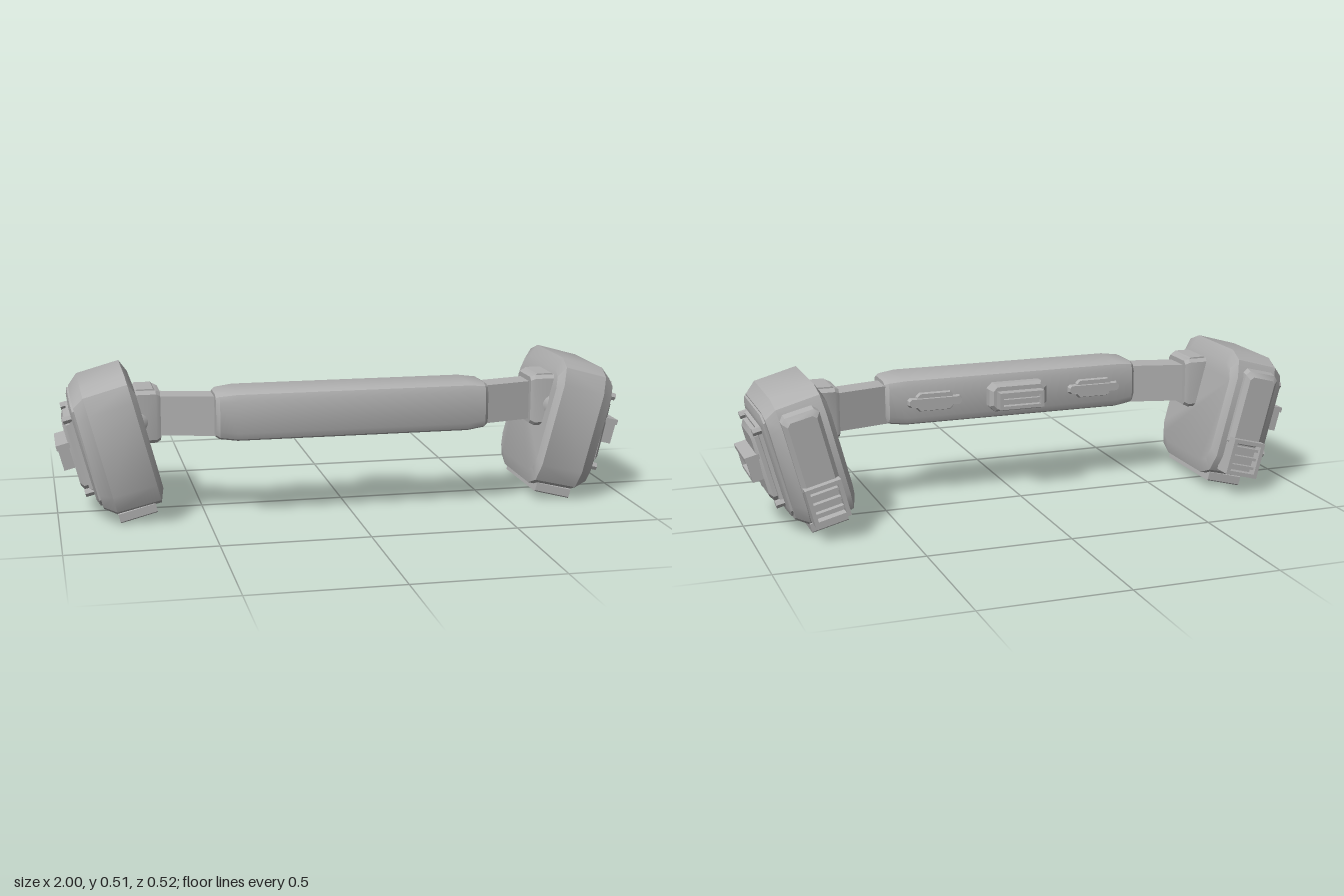
import * as THREE from 'three';
import { toCreasedNormals } from 'three/addons/utils/BufferGeometryUtils.js';

const grey = new THREE.MeshStandardMaterial({ color: 0xb0b0b0 });
grey.name = 'plain grey';

// Rounded-rectangle outline; taper narrows it towards the top
function outline(w, h, r, taper, seg, cy) {
  const pts = [];
  const corners = [[1, 1], [-1, 1], [-1, -1], [1, -1]];
  corners.forEach(([sx, sy], k) => {
    for (let i = 0; i <= seg; i++) {
      const a = (k + i / seg) * Math.PI / 2;
      const x = sx * (w / 2 - r) + r * Math.cos(a);
      const y = sy * (h / 2 - r) + r * Math.sin(a);
      pts.push([x * (1 - taper * y / h), y + cy]);
    }
  });
  return pts;
}

// Solid lofted along +z through levels of [depth, width, height, radius, shiftY]
function loft(levels, seg = 1, taper = 0) {
  const rings = levels.map(([d, w, h, r, cy = 0]) =>
    outline(w, h, r, taper, seg, cy).map(([x, y]) => [x, y, d]));
  const pos = [];
  const tri = (a, b, c) => pos.push(...a, ...b, ...c);
  const n = rings[0].length;
  for (let j = 0; j < rings.length - 1; j++) {
    const lo = rings[j], hi = rings[j + 1];
    for (let i = 0; i < n; i++) {
      const k = (i + 1) % n;
      tri(lo[i], lo[k], hi[k]);
      tri(lo[i], hi[k], hi[i]);
    }
  }
  const first = rings[0], last = rings[rings.length - 1];
  for (let i = 1; i < n - 1; i++) {
    tri(first[0], first[i + 1], first[i]);
    tri(last[0], last[i], last[i + 1]);
  }
  const g = new THREE.BufferGeometry();
  g.setAttribute('position', new THREE.Float32BufferAttribute(pos, 3));
  return toCreasedNormals(g, 0.5);
}

function add(parent, name, geo, x = 0, y = 0, z = 0) {
  const m = new THREE.Mesh(geo, grey);
  m.name = name;
  m.position.set(x, y, z);
  parent.add(m);
  return m;
}
const box = (w, h, d) => new THREE.BoxGeometry(w, h, d);
const outward = g => g.rotateY(Math.PI / 2);
const backward = g => g.rotateY(Math.PI);

// Open rectangular frame with slats, facing +z
function louvre(name, w, h, d, t, slats) {
  const g = new THREE.Group();
  g.name = name;
  for (const s of [-1, 1]) {
    add(g, 'frameRail', box(w, t, d), 0, s * (h - t) / 2, d / 2);
    add(g, 'frameSide', box(t, h - 2 * t, d), s * (w - t) / 2, 0, d / 2);
  }
  add(g, 'frameBack', box(w - 2 * t, h - 2 * t, d * 0.5), 0, 0, d * 0.25);
  for (let i = 1; i <= slats; i++) {
    add(g, 'slat', box(w - 2 * t, t * 0.7, d * 0.35), 0, -h / 2 + h * i / (slats + 1), d * 0.65);
  }
  return g;
}

// Tilted end pod on the +x side
function makePod() {
  const pod = new THREE.Group();
  pod.name = 'pod';
  pod.position.set(0.795, 0.262, 0.012);
  pod.rotation.z = -0.253;

  add(pod, 'podBody', outward(loft([
    [-0.105, 0.40, 0.37, 0.06], [-0.087, 0.445, 0.462, 0.085],
    [0.065, 0.445, 0.456, 0.085], [0.105, 0.40, 0.39, 0.065]], 2)));
  add(pod, 'podFoot', loft([
    [-0.065, 0.33, 0.036, 0.004], [0.065, 0.33, 0.036, 0.004]]).rotateY(Math.PI / 2), 0, -0.235, 0);

  // Stepped outer panels
  add(pod, 'outerPanel', outward(loft([
    [0.10, 0.335, 0.367, 0.025], [0.112, 0.335, 0.367, 0.025], [0.120, 0.30, 0.33, 0.022]])), 0, 0.005, 0);
  add(pod, 'middlePanel', outward(loft([
    [0.115, 0.27, 0.28, 0.015], [0.132, 0.26, 0.27, 0.015]], 1, 0.1)), 0, 0.007, 0);
  add(pod, 'raisedHatch', outward(loft([
    [0.13, 0.215, 0.255, 0.02], [0.146, 0.215, 0.255, 0.02], [0.157, 0.19, 0.215, 0.012]], 1, 0.16)), 0, 0.004, 0);

  // Ledge handle on the hatch
  const handle = louvre('hatchHandle', 0.19, 0.085, 0.055, 0.014, 0);
  handle.rotation.y = Math.PI / 2;
  handle.position.set(0.14, 0.004, -0.002);
  pod.add(handle);
  add(pod, 'handleLip', box(0.058, 0.018, 0.2), 0.17, 0.043, -0.002);

  // Hexagonal bolts
  for (const [v, z] of [[0.134, 0.118], [0.134, -0.12], [-0.125, 0.128], [-0.125, -0.132]]) {
    const bolt = new THREE.CylinderGeometry(0.014, 0.014, 0.04, 6).toNonIndexed();
    bolt.computeVertexNormals();
    add(pod, 'bolt', bolt.rotateZ(-Math.PI / 2), 0.13, v, z);
  }

  // Back strip and vent box
  add(pod, 'backStrip', backward(loft([
    [0.20, 0.13, 0.29, 0.015], [0.235, 0.13, 0.275, 0.015], [0.25, 0.1, 0.24, 0.012]])), 0, 0.04, 0);
  const vent = louvre('backVent', 0.125, 0.13, 0.07, 0.014, 3);
  vent.rotation.y = Math.PI;
  vent.position.set(0, -0.131, -0.207);
  pod.add(vent);

  // Shallow pivot dome on the inner face
  const dome = new THREE.CylinderGeometry(0.065, 0.05, 0.03, 24);
  add(pod, 'pivotDisc', toCreasedNormals(dome.rotateZ(-Math.PI / 2), 0.6), -0.112, 0.062, 0.1);
  return pod;
}

// Pod, bracket and arm of one side
function makeSide() {
  const side = new THREE.Group();
  side.add(makePod());
  add(side, 'bracket', outward(loft([
    [0.65, 0.14, 0.165, 0.012], [0.665, 0.155, 0.18, 0.012], [0.74, 0.155, 0.18, 0.012]])), 0, 0.36, 0.088);
  add(side, 'bracketCap', loft([
    [-0.065, 0.07, 0.03, 0.008], [0.065, 0.07, 0.03, 0.008]]), 0.70, 0.44, 0.088);
  const arm = add(side, 'arm', box(0.25, 0.135, 0.094), 0.56, 0.358, 0.111);
  arm.rotation.y = 0.245;
  return side;
}

export function createModel() {
  const model = new THREE.Group();
  model.name = 'barWithPods';

  // Central grip
  add(model, 'centralBar', outward(loft([
    [-0.472, 0.15, 0.145, 0.03], [-0.46, 0.175, 0.157, 0.03], [-0.40, 0.195, 0.17, 0.03],
    [0.40, 0.195, 0.17, 0.03], [0.46, 0.175, 0.157, 0.03], [0.472, 0.15, 0.145, 0.03]], 2)), 0, 0.365, 0.157);

  // Middle fixture on the back of the bar
  add(model, 'centreMount', backward(loft([
    [0, 0.215, 0.10, 0.02], [0.035, 0.215, 0.10, 0.02], [0.047, 0.19, 0.08, 0.015]])), 0, 0.365, 0.063);
  const port = louvre('centrePort', 0.165, 0.06, 0.045, 0.012, 1);
  port.rotation.y = Math.PI;
  port.position.set(0, 0.36, 0.025);
  model.add(port);

  // Small side fixtures on the back of the bar
  for (const s of [-1, 1]) {
    add(model, 'sideStrip', backward(loft([
      [0, 0.2, 0.035, 0.008], [0.022, 0.19, 0.028, 0.008]])), s * 0.3, 0.365, 0.063);
    add(model, 'sidePlate', backward(loft([
      [0, 0.14, 0.07, 0.012], [0.014, 0.13, 0.06, 0.012]])), s * 0.3, 0.365, 0.063);
  }

  // Both ends, mirrored
  for (const s of [1, -1]) {
    const side = makeSide();
    side.name = s > 0 ? 'leftEnd' : 'rightEnd';
    side.scale.x = s;
    model.add(side);
  }
  return model;
}
